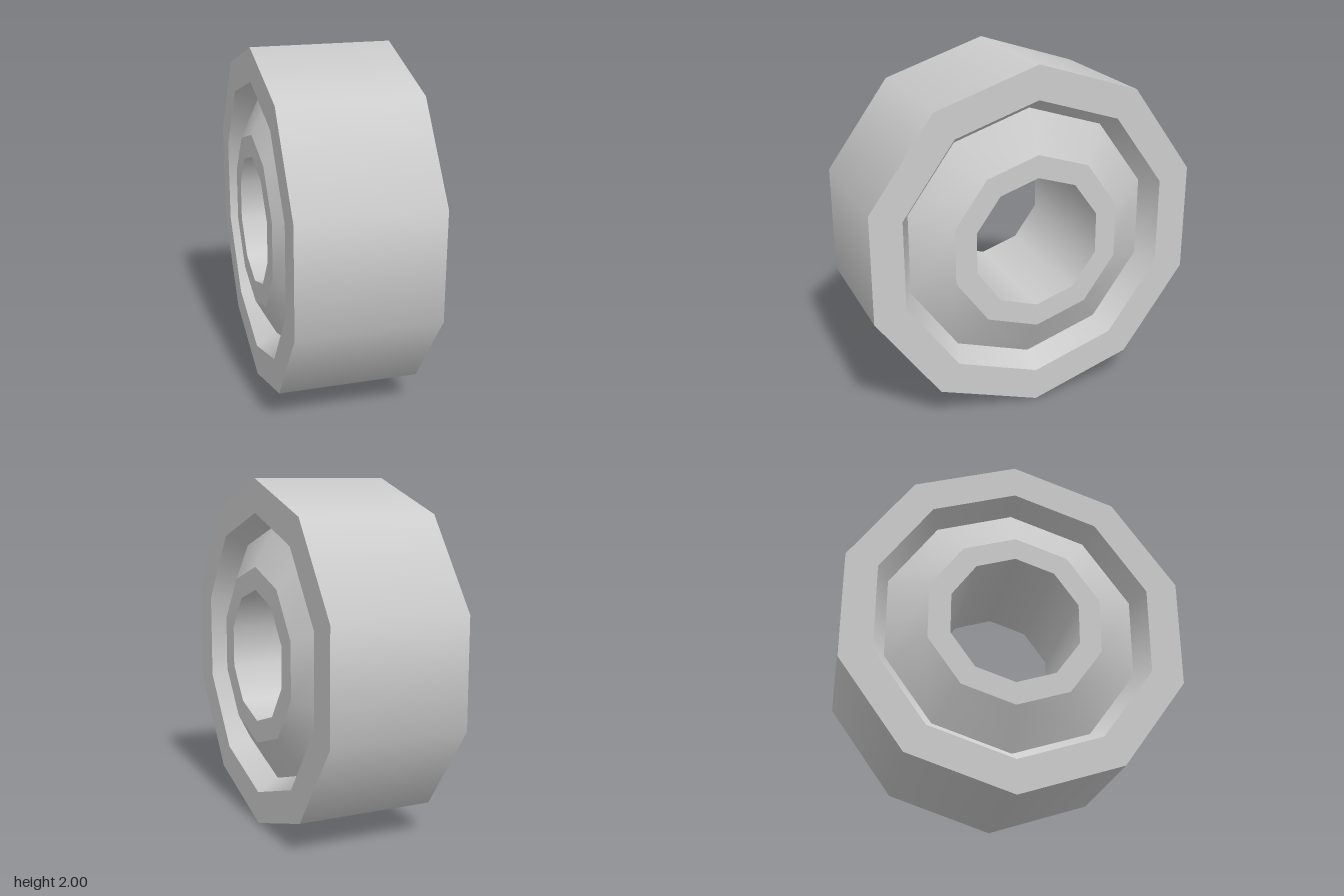
import * as THREE from 'three';

const SIDES = 10;

export function createModel() {
  const model = new THREE.Group();
  model.name = 'wheel';
  const grey = new THREE.MeshStandardMaterial({ color: 0xcccccc });
  grey.name = 'light grey';

  // Closed cross-section of [radius, offset along the axle]; every band has its own crisp edges
  const profile = [
    ['tread', 1, -0.4],
    ['rimFaceLeft', 1, 0.4],
    ['grooveWallLeft', 0.81, 0.4],
    ['hubConeLeft', 0.74, 0.275],
    ['hubFaceLeft', 0.51, 0.402],
    ['axleHole', 0.38, 0.402],
    ['hubFaceRight', 0.38, -0.402],
    ['hubConeRight', 0.51, -0.402],
    ['grooveWallRight', 0.74, -0.275],
    ['rimFaceRight', 0.81, -0.4],
  ];

  // Ten-sided bands, smooth around the axle, with a corner at the top
  const wheel = new THREE.Group();
  wheel.name = 'wheelBands';
  profile.forEach(([name, r, a], i) => {
    const [, r2, a2] = profile[(i + 1) % profile.length];
    const points = [new THREE.Vector2(r, a), new THREE.Vector2(r2, a2)];
    const band = new THREE.Mesh(new THREE.LatheGeometry(points, SIDES, Math.PI / 2), grey);
    band.name = name;
    wheel.add(band);
  });

  // Lay the axle along x and stand the wheel on the ground
  wheel.rotation.z = -Math.PI / 2;
  wheel.position.y = 1;
  model.add(wheel);
  return model;
}
